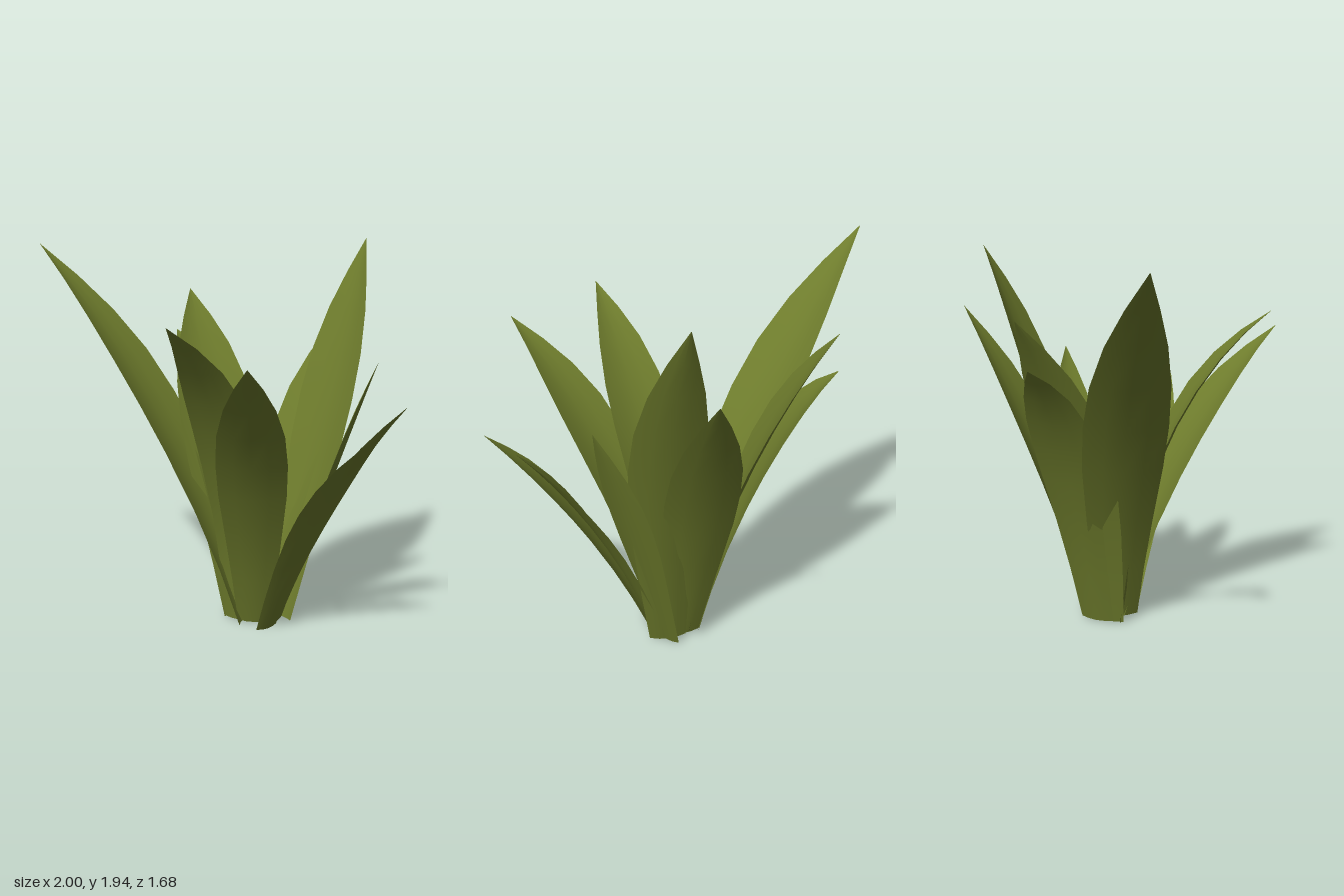
import * as THREE from 'three';

// Blade outline: [position along the midrib, fraction of the full half width]
const OUTLINE = [[0, 0.52], [0.13, 0.66], [0.27, 0.82], [0.42, 0.97], [0.54, 1], [0.66, 0.92], [0.78, 0.69], [0.89, 0.37], [1, 0.006]];
const ACROSS = [-1, -0.5, 0, 0.5, 1];
const CUP = 0.2; // how far the blade edges curl inwards

// Root, midpoint and tip of each midrib, then half width
const LEAVES = [
  { name: 'leftSweepingLeaf', root: [0.16, 0, -0.08], mid: [-0.32, 1.04, -0.1], tip: [-1, 1.91, -0.09], half: 0.205 },
  { name: 'frontArchingLeaf', root: [0.14, 0, -0.06], mid: [0.16, 0.98, 0.2], tip: [0.09, 1.63, 0.7], half: 0.17 },
  { name: 'frontLongLeaf', root: [0.23, 0, -0.06], mid: [0.34, 0.87, 0.3], tip: [0.52, 1.5, 0.84], half: 0.17 },
  { name: 'backTallLeaf', root: [0.32, 0, -0.2], mid: [0.48, 1.07, -0.43], tip: [0.58, 1.94, -0.73], half: 0.18 },
  { name: 'backLeaf', root: [0.24, 0, -0.21], mid: [0.32, 0.88, -0.48], tip: [0.52, 1.63, -0.84], half: 0.18 },
  { name: 'sideBackLeaf', root: [0.33, 0, -0.2], mid: [0.57, 0.75, -0.255], tip: [0.78, 1.37, -0.29], half: 0.135 },
  { name: 'sideLeaf', root: [0.33, 0, -0.11], mid: [0.64, 0.69, -0.06], tip: [1, 1.22, 0], half: 0.155 },
  { name: 'sideFrontLeaf', root: [0.32, 0, -0.01], mid: [0.62, 0.66, 0.15], tip: [0.98, 1.17, 0.34], half: 0.13 },
  { name: 'backWideLeaf', root: [0.12, 0, -0.16], mid: [-0.1, 0.93, -0.34], tip: [-0.37, 1.65, -0.61], half: 0.215 },
  { name: 'backBentLeaf', root: [0.12, 0, -0.2], mid: [-0.12, 0.92, -0.375], tip: [-0.43, 1.43, -0.56], half: 0.18 },
];

// Cupped blade swept along a curved midrib
function bladeGeometry({ root, mid, tip, half }) {
  const a = new THREE.Vector3(...root);
  const c = new THREE.Vector3(...tip);
  const control = new THREE.Vector3(...mid).multiplyScalar(2).addScaledVector(a, -0.5).addScaledVector(c, -0.5);
  const midrib = new THREE.QuadraticBezierCurve3(a, control, c);
  const side = new THREE.Vector3(a.z - c.z, 0, c.x - a.x).normalize();
  const positions = [];
  const indices = [];
  const n = ACROSS.length;
  OUTLINE.forEach(([t, fraction], row) => {
    const centre = midrib.getPoint(t);
    const inward = new THREE.Vector3().crossVectors(side, midrib.getTangent(t)).normalize();
    if (inward.y < 0) inward.negate();
    const w = half * fraction;
    ACROSS.forEach((s, col) => {
      const p = centre.clone().addScaledVector(side, s * w).addScaledVector(inward, s * s * CUP * w);
      positions.push(p.x, p.y, p.z);
      if (row && col) {
        const k = row * n + col;
        indices.push(k - n - 1, k - n, k - 1, k - n, k, k - 1);
      }
    });
  });
  const geometry = new THREE.BufferGeometry();
  geometry.setAttribute('position', new THREE.Float32BufferAttribute(positions, 3));
  geometry.setIndex(indices);
  geometry.computeVertexNormals();
  return geometry;
}

export function createModel() {
  const plant = new THREE.Group();
  plant.name = 'plant';
  const leafGreen = new THREE.MeshStandardMaterial({ color: 0x6f7d2d, side: THREE.DoubleSide });
  leafGreen.name = 'leafGreen';
  for (const leaf of LEAVES) {
    const mesh = new THREE.Mesh(bladeGeometry(leaf), leafGreen);
    mesh.name = leaf.name;
    plant.add(mesh);
  }
  return plant;
}
